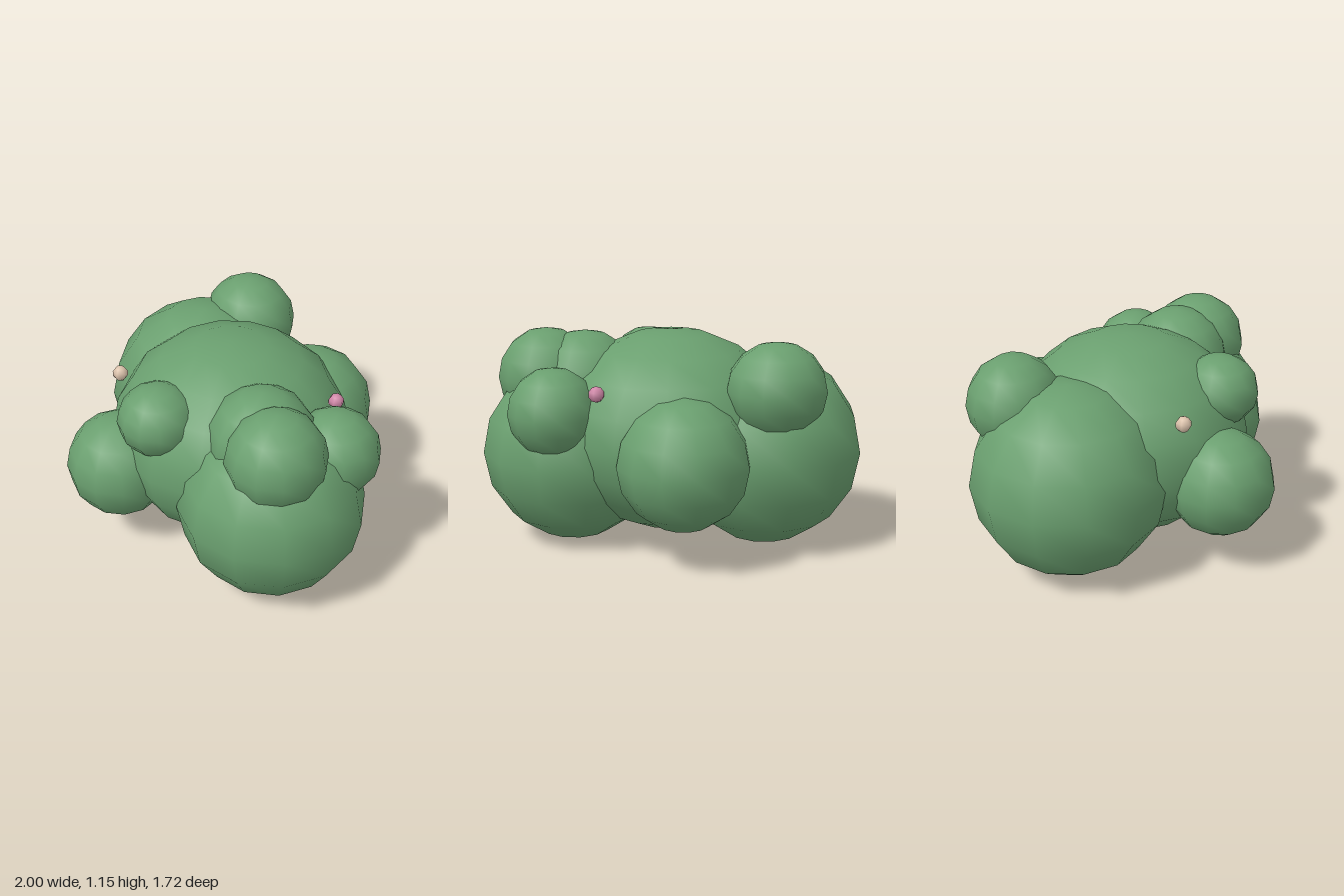
import * as THREE from 'three';

export function createModel() {
  const leaf = new THREE.MeshStandardMaterial({ color: 0x6a9f6f });
  leaf.name = 'leaf green';
  const pink = new THREE.MeshStandardMaterial({ color: 0xd087a8 });
  pink.name = 'blossom pink';
  const cream = new THREE.MeshStandardMaterial({ color: 0xdcc3ac });
  cream.name = 'blossom cream';

  const bush = new THREE.Group();
  bush.name = 'bush';

  // Low-poly ellipsoid with smooth normals
  function blob(name, material, [x, y, z], [rx, ry, rz], across = 12, up = 8) {
    const geometry = new THREE.SphereGeometry(1, across, up);
    const mesh = new THREE.Mesh(geometry, material);
    mesh.name = name;
    mesh.scale.set(rx, ry, rz);
    mesh.position.set(x, y, z);
    bush.add(mesh);
  }
  const ball = (r) => [r, r, r];

  // Large foliage masses
  blob('coreFoliage', leaf, [0, 0.61, 0], [0.635, 0.54, 0.635], 14, 10);
  blob('rightFoliage', leaf, [-0.48, 0.525, -0.165], ball(0.52));
  blob('leftFoliage', leaf, [0.51, 0.49, 0.12], ball(0.49));
  blob('backFoliage', leaf, [0.04, 0.55, -0.515], ball(0.345));
  blob('frontFoliage', leaf, [-0.225, 0.487, 0.57], ball(0.286));

  // Smaller clumps on top
  blob('frontClump', leaf, [0.028, 0.887, 0.483], [0.208, 0.19, 0.21]);
  blob('backRightClump', leaf, [-0.455, 0.9, -0.468], [0.265, 0.248, 0.245]);
  blob('leftUpperClump', leaf, [0.64, 0.885, 0.2], ball(0.26));
  blob('leftInnerClump', leaf, [0.44, 0.852, 0.135], ball(0.284));
  blob('leftBackClump', leaf, [0.655, 0.765, -0.17], ball(0.236));

  // Blossoms
  blob('pinkBlossom', pink, [0.453, 0.89, -0.34], ball(0.042), 6, 5);
  blob('creamBlossom', cream, [-0.425, 0.89, 0.42], ball(0.042), 6, 5);

  return bush;
}
